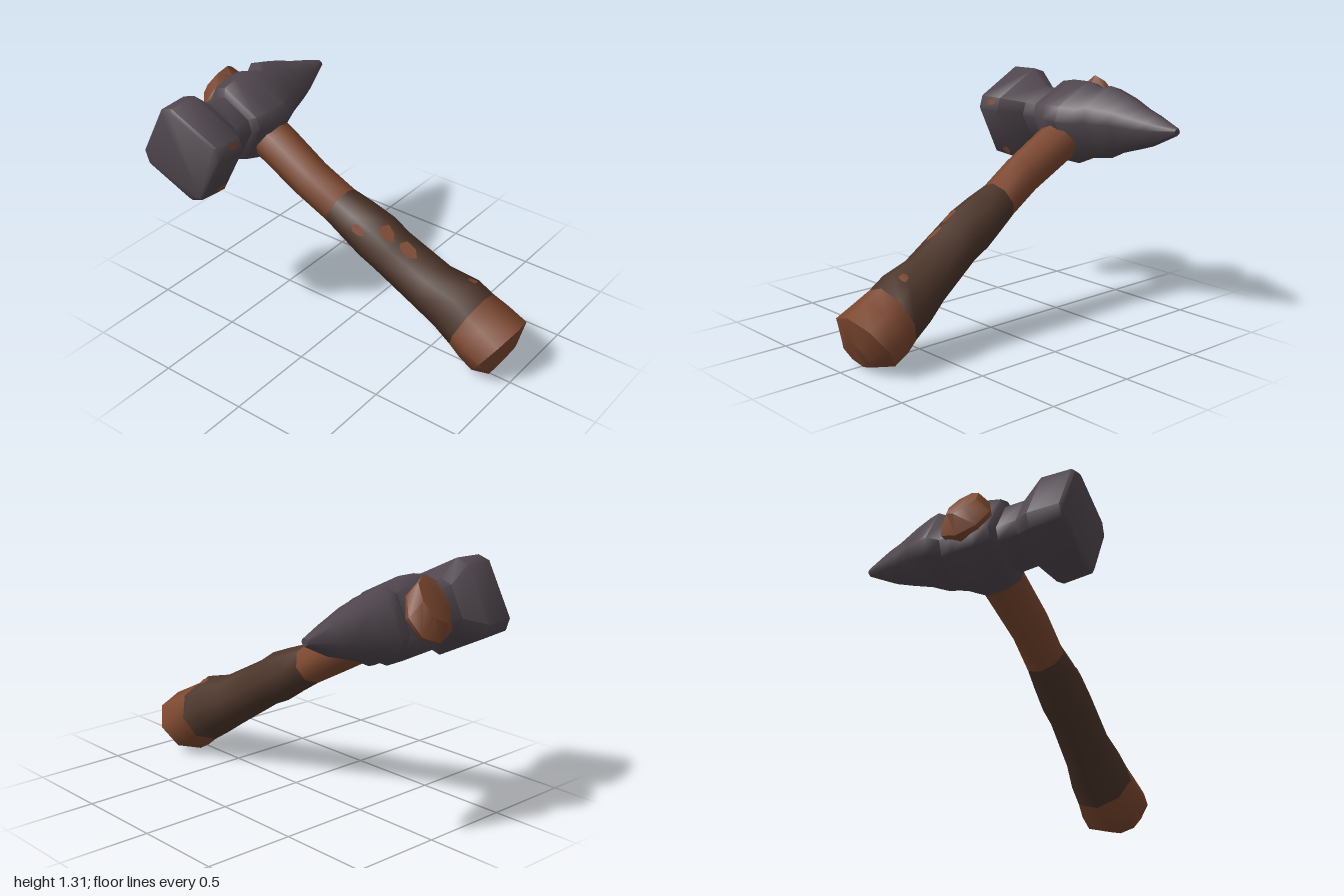
import * as THREE from 'three';
import { toCreasedNormals } from 'three/addons/utils/BufferGeometryUtils.js';

const SIDES = 8;
const wood = new THREE.MeshStandardMaterial({ name: 'wood', color: 0x7d4830 });
const leather = new THREE.MeshStandardMaterial({ name: 'leather', color: 0x4d362b });
const iron = new THREE.MeshStandardMaterial({ name: 'iron', color: 0x50474e });

// Skin a list of rings (each SIDES points), with optional flat end caps
function loft(rings, startCap, endCap) {
  const pos = [], index = [];
  rings.forEach(r => r.forEach(p => pos.push(p.x, p.y, p.z)));
  for (let i = 0; i < rings.length - 1; i++) {
    for (let j = 0; j < SIDES; j++) {
      const k = (j + 1) % SIDES;
      const a = i * SIDES + j, b = i * SIDES + k;
      index.push(a, b, a + SIDES, b, b + SIDES, a + SIDES);
    }
  }
  const last = (rings.length - 1) * SIDES;
  for (let j = 1; j < SIDES - 1; j++) {
    if (startCap) index.push(0, j + 1, j);
    if (endCap) index.push(last, last + j, last + j + 1);
  }
  const g = new THREE.BufferGeometry();
  g.setAttribute('position', new THREE.Float32BufferAttribute(pos, 3));
  g.setIndex(index);
  return toCreasedNormals(g, 0.9);
}

// Point on a skin at fractional ring and side
function onSkin(rings, row, side) {
  const i = Math.min(Math.floor(row), rings.length - 2);
  const s = (side + SIDES) % SIDES, j = Math.floor(s), k = (j + 1) % SIDES;
  const a = rings[i][j].clone().lerp(rings[i][k], s - j);
  const b = rings[i + 1][j].clone().lerp(rings[i + 1][k], s - j);
  return a.lerp(b, row - i);
}

// Thin irregular patch lying on a skin
function patch(rings, row, side, rRow, rSide) {
  const mid = onSkin(rings, row, side);
  const pts = [0, 1, 2, 3, 4, 5].map(n => {
    const t = n * Math.PI / 3, w = 1 + 0.25 * Math.sin(n * 4.7 + row);
    return onSkin(rings, row + rRow * w * Math.cos(t), side + rSide * w * Math.sin(t));
  });
  const normal = onSkin(rings, row, side + 0.1).sub(mid)
    .cross(onSkin(rings, row + 0.1, side).sub(mid)).normalize().multiplyScalar(0.006);
  const pos = [];
  pts.forEach((p, n) => {
    [mid, pts[(n + 1) % 6], p].forEach(v => pos.push(v.x + normal.x, v.y + normal.y, v.z + normal.z));
  });
  const g = new THREE.BufferGeometry();
  g.setAttribute('position', new THREE.Float32BufferAttribute(pos, 3));
  g.computeVertexNormals();
  return g;
}

// Handle sections: x, y, z, half height, half depth, lean in degrees
const handleSections = [
  [-0.92, 1.205, 0.055, 0.13, 0.08, 53],
  [-0.89, 1.13, 0.055, 0.155, 0.145, 60],
  [-0.78, 1.08, 0.05, 0.12, 0.125, 61],
  [-0.50, 0.94, 0.05, 0.115, 0.12, 63],
  [-0.27, 0.81, 0.055, 0.112, 0.112, 63],
  [-0.09, 0.705, 0.035, 0.108, 0.115, 65],
  [0.02, 0.65, 0.025, 0.122, 0.13, 63],
  [0.14, 0.585, 0.015, 0.137, 0.14, 63],
  [0.235, 0.53, 0.01, 0.128, 0.14, 60],
  [0.48, 0.38, -0.025, 0.143, 0.145, 65],
  [0.615, 0.32, -0.05, 0.172, 0.165, 60],
  [0.71, 0.255, -0.055, 0.17, 0.18, 66],
  [0.79, 0.205, -0.06, 0.178, 0.195, 60],
  [0.885, 0.155, -0.06, 0.182, 0.2, 55],
  [0.925, 0.095, -0.035, 0.09, 0.11, 62],
];

function handleRing([x, y, z, h, d, lean]) {
  const a = THREE.MathUtils.degToRad(lean);
  return Array.from({ length: SIDES }, (_, j) => {
    const t = j * 2 * Math.PI / SIDES, u = Math.cos(t) * h;
    return new THREE.Vector3(x + Math.cos(a) * u, y + Math.sin(a) * u, z + Math.sin(t) * d);
  });
}

// Head sections, back to front: z, x, y, half size, chamfer, slant of z along x
const headSections = [
  [-0.63, -0.76, 1.085, 0.018, 0.008, 0],
  [-0.48, -0.755, 1.075, 0.075, 0.03, 0],
  [-0.40, -0.75, 1.075, 0.098, 0.04, 0],
  [-0.28, -0.75, 1.08, 0.133, 0.05, 0],
  [-0.19, -0.75, 1.07, 0.162, 0.06, 0],
  [-0.14, -0.745, 1.075, 0.17, 0.06, 0],
  [-0.09, -0.71, 1.065, 0.165, 0.06, 0],
  [0.00, -0.70, 1.06, 0.192, 0.06, 0],
  [0.11, -0.70, 1.06, 0.19, 0.06, 0],
  [0.20, -0.70, 1.065, 0.17, 0.05, 0],
  [0.22, -0.70, 1.06, 0.14, 0.05, 0],
  [0.33, -0.70, 1.065, 0.138, 0.05, 0],
  [0.43, -0.68, 1.057, 0.214, 0.055, -0.04],
  [0.595, -0.68, 1.06, 0.206, 0.05, -0.07],
  [0.61, -0.68, 1.06, 0.193, 0.05, -0.08],
];

function headRing([z, x, y, h, c, slant]) {
  const k = h - c, a = THREE.MathUtils.degToRad(-27);
  return [[h, -k], [h, k], [k, h], [-k, h], [-h, k], [-h, -k], [-k, -h], [k, -h]].map(([p, q]) => {
    const dx = p * Math.cos(a) - q * Math.sin(a), dy = p * Math.sin(a) + q * Math.cos(a);
    return new THREE.Vector3(x + dx, y + dy, z + dx * slant);
  });
}

export function createModel() {
  const model = new THREE.Group();
  model.name = 'hammer';
  const add = (name, geometry, material) => {
    const mesh = new THREE.Mesh(geometry, material);
    mesh.name = name;
    model.add(mesh);
  };

  // Handle: bare shaft, leather grip, rounded pommel
  const handle = handleSections.map(handleRing);
  add('shaft', loft(handle.slice(0, 6), true, false), wood);
  add('grip', loft(handle.slice(5, 12), false, false), leather);
  add('pommel', loft(handle.slice(11), false, true), wood);

  // Iron head: striking face, neck, collar and rear spike
  const head = headSections.map(headRing);
  add('head', loft(head, true, true), iron);

  // Worn wood spots in the grip, then rust spots on the striking face
  [[7.45, 0.5, 0.4, 0.4], [8.25, 0.4, 0.2, 0.35], [9.9, 7.5, 0.2, 0.2], [6.5, 1.4, 0.3, 0.3]]
    .forEach(s => add('wornSpot', patch(handle, ...s), wood));
  [[12.4, 1.6, 0.2, 0.3], [12.3, 0.12, 0.2, 0.1]]
    .forEach(s => add('rustSpot', patch(head, ...s), wood));

  return model;
}
